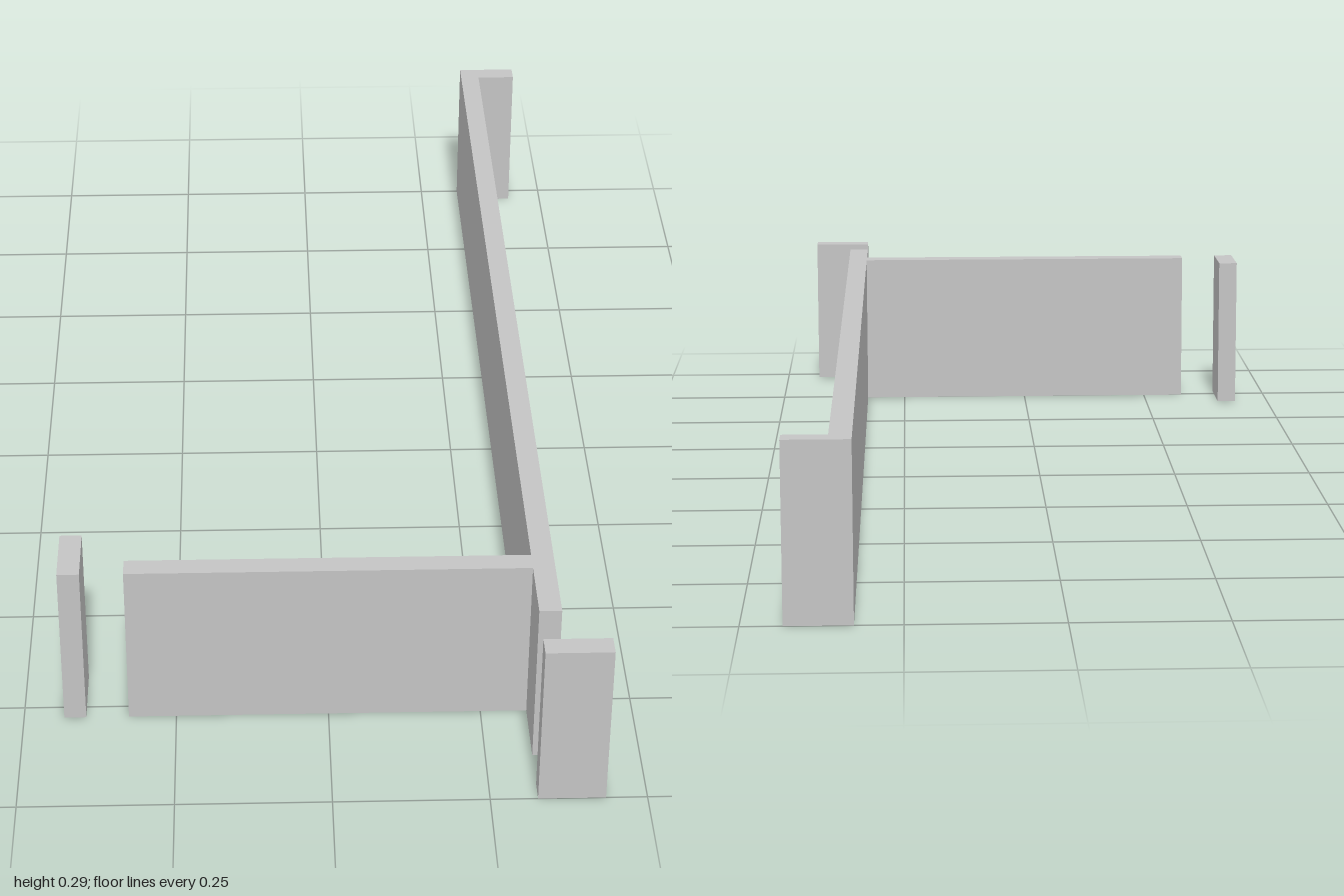
import * as THREE from 'three';

const HEIGHT = 0.289;

export function createModel() {
  const group = new THREE.Group();
  group.name = 'wallPlan';
  const plaster = new THREE.MeshStandardMaterial({ color: 0xc4c4c4 });
  plaster.name = 'light grey plaster';

  // Raises a floor-plan outline of [x, z] corners to full wall height
  function addWall(name, outline) {
    const shape = new THREE.Shape(outline.map(([x, z]) => new THREE.Vector2(x, -z)));
    const geometry = new THREE.ExtrudeGeometry(shape, { depth: HEIGHT, bevelEnabled: false });
    geometry.rotateX(-Math.PI / 2);
    const mesh = new THREE.Mesh(geometry, plaster);
    mesh.name = name;
    group.add(mesh);
  }

  const rectangle = (x0, x1, z0, z1) => [[x0, z0], [x1, z0], [x1, z1], [x0, z1]];

  // Long wall with its rear return and the side wall branching off near the front
  addWall('mainWalls', [
    [0.326, -1], [0.434, -1], [0.434, -0.964], [0.362, -0.964],
    [0.362, 0.892], [0.326, 0.892], [0.326, 0.777],
    [-0.328, 0.777], [-0.328, 0.741], [0.326, 0.741],
  ]);

  // Freestanding wall stubs beyond the door gaps
  addWall('frontStub', rectangle(0.326, 0.434, 0.964, 1));
  addWall('sideStub', rectangle(-0.434, -0.398, 0.669, 0.777));

  return group;
}
